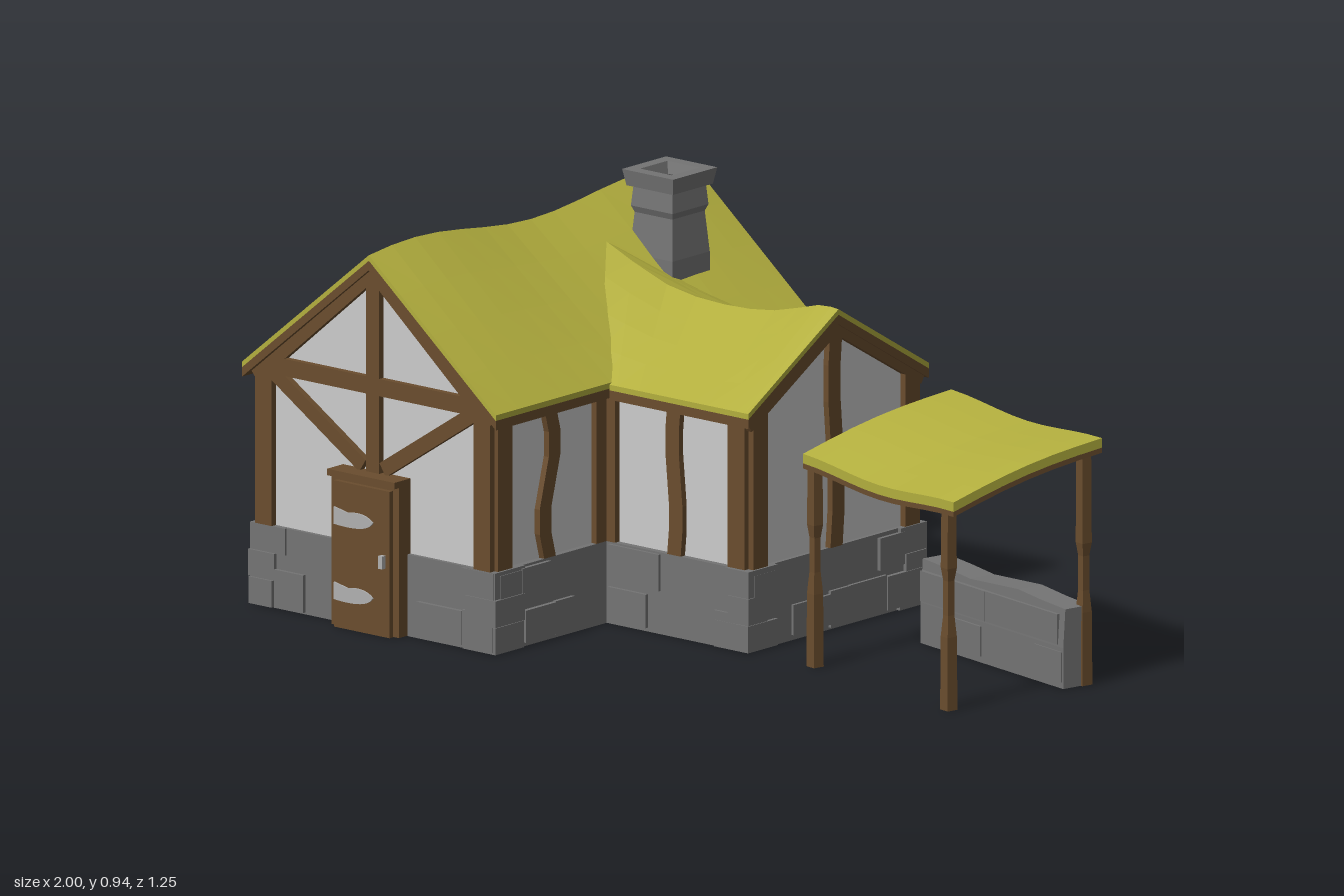
import * as THREE from 'three';

const mat = (color) => new THREE.MeshStandardMaterial({ color, flatShading: true });

export function createModel() {
  const thatch = mat(0xb3af3e), wood = mat(0x6a4d2e), plaster = mat(0xcccccc);
  const stone = mat(0x747474), dark = mat(0x4a4a4a), iron = mat(0xb0b0b0);
  let seed = 7;
  const rnd = () => (seed = (seed * 16807) % 2147483647) / 2147483647;

  const model = new THREE.Group();
  model.name = 'cottageWithShelter';

  function add(parent, name, geo, material, x = 0, y = 0, z = 0) {
    const m = new THREE.Mesh(geo, material);
    m.name = name;
    m.position.set(x, y, z);
    parent.add(m);
    return m;
  }
  const box = (parent, name, material, w, h, d, x, y, z) =>
    add(parent, name, new THREE.BoxGeometry(w, h, d), material, x, y, z);

  // Moves the vertices of a geometry by a rule
  function warp(geo, rule) {
    const p = geo.attributes.position, v = new THREE.Vector3();
    for (let i = 0; i < p.count; i++) {
      rule(v.fromBufferAttribute(p, i));
      p.setXYZ(i, v.x, v.y, v.z);
    }
    geo.computeVertexNormals();
    return geo;
  }

  // Layer of a roof: top(u, v) gives the upper surface, drop is the depth below it
  const layer = (parent, name, material, top, nu, nv, drop, t) =>
    add(parent, name, warp(new THREE.BoxGeometry(1, 1, 1, nu, 1, nv), (p) => {
      const s = top(p.x + 0.5, p.z + 0.5);
      p.set(s[0], s[1] - drop - (0.5 - p.y) * t, s[2]);
    }), material);
  function roof(parent, name, top, nu, nv, t1, t2) {
    layer(parent, name + 'Thatch', thatch, top, nu, nv, 0, t1);
    layer(parent, name + 'Boards', wood, top, nu, nv, t1, t2);
  }

  // Wall plane: timbers are laid on it in (u, y)
  function facade(parent, name, x, z, turn) {
    const g = new THREE.Group();
    g.name = name;
    g.position.set(x, 0, z);
    g.rotation.y = turn;
    parent.add(g);
    return g;
  }
  function beam(g, u1, y1, u2, y2, w = 0.04, bend = 0) {
    const len = Math.hypot(u2 - u1, y2 - y1);
    const geo = warp(new THREE.BoxGeometry(w, len, 0.03, 1, bend ? 6 : 1, 1), (p) => {
      p.x += bend * Math.sin((p.y / len + 0.5) * Math.PI * 2);
    });
    add(g, 'timber', geo, wood, (u1 + u2) / 2, (y1 + y2) / 2, 0)
      .rotation.z = -Math.atan2(u2 - u1, y2 - y1);
  }
  const gable = (g, half, eave, apex) => {
    const s = new THREE.Shape();
    s.moveTo(-half, eave - 0.05);
    s.lineTo(half, eave - 0.05);
    s.lineTo(half, eave);
    s.lineTo(0, apex);
    s.lineTo(-half, eave);
    add(g, 'gablePanel', new THREE.ExtrudeGeometry(s, { depth: 0.04, bevelEnabled: false }), plaster, 0, 0, -0.04);
  };

  // ---- House, turned a little ----
  const house = new THREE.Group();
  house.name = 'house';
  house.position.x = -0.52;
  house.rotation.y = 0.208;
  model.add(house);

  // Stone footing with scattered raised stones
  const H = 0.19;
  const plan = [[-0.36, 0.54], [0.36, 0.54], [0.36, 0.155], [0.78, 0.155],
    [0.78, -0.445], [0.36, -0.445], [0.36, -0.54], [-0.36, -0.54]];
  const planShape = new THREE.Shape(plan.map(([x, z]) => new THREE.Vector2(x, -z)));
  add(house, 'footing', new THREE.ExtrudeGeometry(planShape, { depth: H, bevelEnabled: false }).rotateX(-Math.PI / 2), stone);
  plan.forEach(([x, z], i) => {
    const [x2, z2] = plan[(i + 1) % plan.length];
    const len = Math.hypot(x2 - x, z2 - z);
    const g = facade(house, 'footingStones', x, z, Math.atan2(-(z2 - z), x2 - x));
    for (const y of [0.048, 0.143]) {
      for (let u = 0.01; u < len - 0.05;) {
        const w = Math.min(0.06 + rnd() * 0.09, len - u);
        const keep = rnd() < 0.5;
        if (keep) box(g, 'stone', stone, w, 0.07 + rnd() * 0.024, 0.02, u + w / 2, y, rnd() * 0.005 - 0.004);
        u += w;
      }
    }
    if (i === 2 || i === 5) return; // inner corners
    for (const y of [0.032, 0.096, 0.159]) {
      const a = 0.06 + rnd() * 0.06, b = 0.06 + rnd() * 0.06, out = 0.004 + rnd() * 0.007;
      const sx = Math.sign(x), sz = z > 0 ? 1 : -1;
      box(house, 'cornerStone', stone, a, 0.062, b, x + sx * (out - a / 2), y, z + sz * (out - b / 2));
    }
  });

  // Plaster walls
  box(house, 'mainWalls', plaster, 0.69, 0.37, 1.06, 0, 0.36, 0);
  box(house, 'wingWalls', plaster, 0.47, 0.37, 0.57, 0.535, 0.36, -0.145);

  // Front and back gables
  const front = facade(house, 'frontGable', 0, 0.53, 0);
  const back = facade(house, 'backGable', 0, -0.53, Math.PI);
  for (const g of [front, back]) {
    gable(g, 0.345, 0.545, 0.835);
    beam(g, -0.345, 0.565, 0.345, 0.565);
    for (const s of [-1, 1]) {
      beam(g, s * 0.325, H, s * 0.325, 0.56, 0.05);
      beam(g, s * 0.35, 0.53, 0, 0.826, 0.03);
    }
  }
  beam(front, 0, 0.36, 0, 0.83);
  for (const s of [-1, 1]) beam(front, s * 0.3, 0.55, s * 0.03, 0.375, 0.035);

  // Long sides
  const sideA = facade(house, 'longSide', -0.345, 0, -Math.PI / 2);
  for (const u of [-0.505, -0.265, 0, 0.265, 0.505]) {
    beam(sideA, u, H, u, 0.54, Math.abs(u) > 0.4 ? 0.05 : 0.035, Math.abs(u) > 0.4 ? 0 : 0.006);
  }
  const sideB = facade(house, 'wingSide', 0.345, 0, Math.PI / 2);
  for (const u of [-0.505, -0.165, 0.505]) beam(sideB, u, H, u, 0.54, 0.05);
  beam(sideB, -0.35, H, -0.35, 0.54, 0.04, -0.018);

  // Wing timbers
  const end = facade(house, 'wingGable', 0.77, -0.145, Math.PI / 2);
  gable(end, 0.285, 0.535, 0.705);
  beam(end, 0, H, 0, 0.7, 0.042, 0.008);
  for (const s of [-1, 1]) {
    beam(end, s * 0.262, H, s * 0.262, 0.545, 0.05);
    beam(end, s * 0.3, 0.525, 0, 0.7, 0.03);
  }
  for (const [z, turn, s] of [[0.14, 0, 1], [-0.43, Math.PI, -1]]) {
    const g = facade(house, 'wingWall', 0.56, z, turn);
    beam(g, s * 0.185, H, s * 0.185, 0.54, 0.05);
    beam(g, 0, H, 0, 0.54, 0.04, 0.006);
    beam(g, -s * 0.195, H, -s * 0.195, 0.54, 0.04);
  }

  // Main roof with a sagging ridge
  roof(house, 'mainRoof', (u, v) => {
    const x = (u - 0.5) * 0.755, z = (v - 0.5) * 1.115, k = Math.abs(u - 0.5) * 2;
    const ridge = 0.866 - 0.0175 * Math.cos(z * Math.PI / 0.4);
    return [x, ridge + (0.562 - ridge) * k, z];
  }, 8, 14, 0.013, 0.022);

  // Wing roof, its inner end running up the main slope
  const ridgeLine = new THREE.SplineCurve([[0.1, 0.785], [0.28, 0.715], [0.45, 0.697], [0.6, 0.708],
    [0.73, 0.742], [0.79, 0.742]].map((p) => new THREE.Vector2(...p)));
  roof(house, 'wingRoof', (u, v) => {
    const k = Math.abs(v - 0.5) * 2, r = ridgeLine.getPoint(u);
    const inner = 0.1 + 0.25 * k;
    const x = inner + (0.79 - inner) * (r.x - 0.1) / 0.69;
    return [x, r.y + (0.558 - r.y) * k, -0.146 + (v - 0.5) * 0.622];
  }, 10, 8, 0.013, 0.022);

  // Door with hinges and handle
  const door = new THREE.Group();
  door.name = 'door';
  house.add(door);
  box(door, 'doorFrame', wood, 0.2, 0.355, 0.06, 0, 0.1785, 0.54);
  box(door, 'doorLeaf', wood, 0.165, 0.34, 0.02, 0, 0.17, 0.572);
  box(door, 'lintel', wood, 0.2, 0.015, 0.075, 0, 0.357, 0.548);
  const strap = new THREE.Shape();
  strap.moveTo(-0.08, -0.02);
  strap.quadraticCurveTo(0.02, -0.028, 0.035, 0);
  strap.quadraticCurveTo(0.01, 0.022, -0.04, 0.012);
  strap.lineTo(-0.08, 0.02);
  for (const y of [0.085, 0.26]) {
    add(door, 'hinge', new THREE.ExtrudeGeometry(strap, { depth: 0.006, bevelEnabled: false }), iron, 0, y, 0.58);
  }
  box(door, 'handle', iron, 0.012, 0.03, 0.014, 0.065, 0.175, 0.587);

  // Chimney: square sections turned around the axis, with a hollow cap
  const flue = [[0.064, 0.66], [0.064, 0.74], [0.056, 0.835], [0.062, 0.85], [0.058, 0.895],
    [0.069, 0.897], [0.076, 0.935], [0.047, 0.935], [0.038, 0.905], [0, 0.9]];
  const square = (pts) => new THREE.LatheGeometry(
    pts.map(([r, y]) => new THREE.Vector2(r * Math.SQRT2, y)), 4).rotateY(Math.PI / 4);
  add(house, 'chimney', square(flue), stone, 0.155, 0, -0.3);
  box(house, 'flueOpening', dark, 0.06, 0.004, 0.06, 0.155, 0.909, -0.3);

  // ---- Shelter ----
  const shelter = new THREE.Group();
  shelter.name = 'shelter';
  model.add(shelter);
  roof(shelter, 'shelterRoof', (u, v) => [
    0.44 + 0.56 * u,
    0.568 - 0.085 * v + 0.012 * Math.sin(v * Math.PI) + 0.008 * Math.cos(u * Math.PI * 2),
    -0.46 + 0.42 * v,
  ], 10, 6, 0.022, 0.012);
  for (const x of [0.465, 0.962]) {
    for (const [z, top] of [[-0.055, 0.462], [-0.437, 0.54]]) {
      add(shelter, 'post', square([[0, 0], [0.014, 0], [0.013, 0.17], [0.009, 0.22],
        [0.009, 0.3], [0.013, 0.33], [0.012, top]]), wood, x, 0, z);
    }
  }
  // Low stone wall with worn edges and raised stones
  add(shelter, 'lowWall', warp(new THREE.BoxGeometry(0.53, 0.19, 0.08, 6, 2, 1), (p) => {
    if (p.y > 0.05) { p.y += 0.006 * Math.sin(p.x * 19); p.z *= 0.85; }
  }), stone, 0.705, 0.095, -0.413);
  for (const y of [0.05, 0.135]) {
    for (let x = 0.445; x < 0.88;) {
      const w = 0.07 + rnd() * 0.07;
      if (rnd() < 0.55) box(shelter, 'stone', stone, w, 0.07, 0.084 + rnd() * 0.008, x + w / 2, y, -0.413);
      x += w;
    }
  }
  return model;
}
